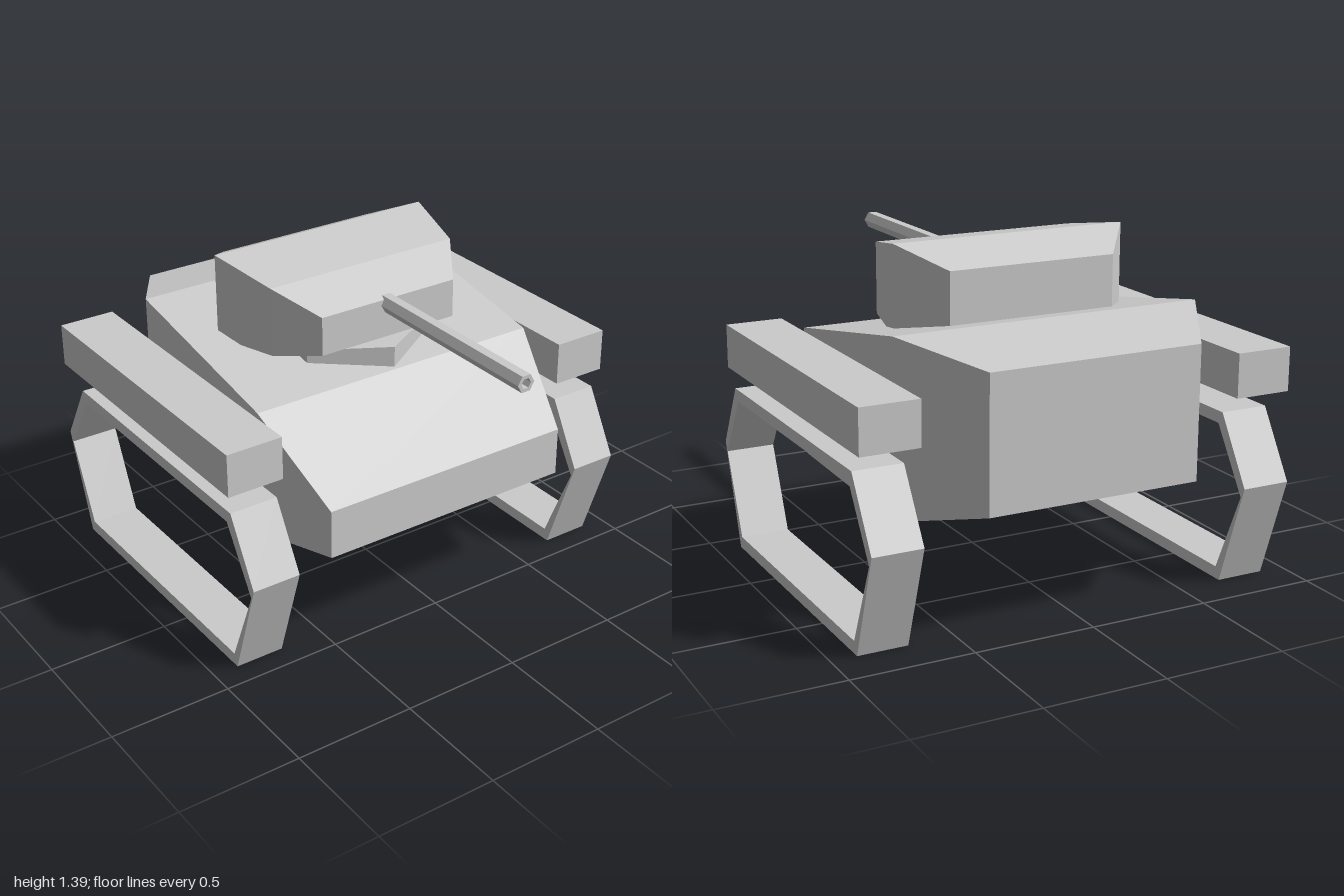
import * as THREE from 'three';

const material = new THREE.MeshStandardMaterial({ color: 0xcccccc, flatShading: true });

function addMesh(parent, name, geometry) {
  const mesh = new THREE.Mesh(geometry, material);
  mesh.name = name;
  parent.add(mesh);
  return mesh;
}

// Faceted body from back-to-front sections: [z, half width, bottom y, top y]
function sectionBody(sections) {
  const n = sections.length - 1;
  const geometry = new THREE.BoxGeometry(2, 2, n, 1, 1, n);
  const pos = geometry.attributes.position;
  for (let i = 0; i < pos.count; i++) {
    const [z, halfWidth, bottom, top] = sections[Math.round(pos.getZ(i) + n / 2)];
    pos.setXYZ(i, Math.sign(pos.getX(i)) * halfWidth, pos.getY(i) > 0 ? top : bottom, z);
  }
  geometry.computeVertexNormals();
  return geometry;
}

// Hollow track loop, drawn as (z, y) outlines and extruded across x
function trackGeometry(width) {
  const toPoints = (list) => list.map(([z, y]) => new THREE.Vector2(z, y));
  const shape = new THREE.Shape(toPoints([
    [0.4, 0], [0.545, 0.43], [0.395, 0.7], [-0.81, 0.7], [-0.975, 0.43], [-0.83, 0],
  ]));
  shape.holes.push(new THREE.Path(toPoints([
    [0.38, 0.05], [0.525, 0.39], [0.365, 0.65], [-0.785, 0.65], [-0.952, 0.39], [-0.805, 0.05],
  ])));
  const geometry = new THREE.ExtrudeGeometry(shape, { depth: width, bevelEnabled: false });
  return geometry.translate(0, 0, -width / 2).rotateY(-Math.PI / 2);
}

export function createModel() {
  const model = new THREE.Group();
  model.name = 'tank';

  addMesh(model, 'hull', sectionBody([
    [-1.0, 0.445, 0.51, 1.05],
    [-0.645, 0.655, 0.415, 1.125],
    [0.215, 0.655, 0.435, 0.97],
    [0.57, 0.56, 0.47, 0.675],
  ]));

  const turret = new THREE.Group();
  turret.name = 'turret';
  model.add(turret);

  addMesh(turret, 'turretBody', sectionBody([
    [-0.51, 0.355, 1.06, 1.31],
    [-0.325, 0.503, 1.035, 1.395],
    [-0.02, 0.437, 1.056, 1.345],
    [0.16, 0.318, 1.095, 1.257],
  ]));

  // Six-sided ring between hull and turret
  addMesh(turret, 'turretRing', new THREE.CylinderGeometry(0.35, 0.35, 0.14, 6))
    .position.set(0, 0.99, -0.15);

  // Six-sided barrel with an open bore
  const barrelProfile = [[0, 0], [0.038, 0], [0.038, 0.96], [0.022, 0.96], [0.022, 0.5], [0, 0.5]]
    .map(([r, y]) => new THREE.Vector2(r, y));
  const barrel = new THREE.LatheGeometry(barrelProfile, 6, Math.PI / 6).rotateX(Math.PI / 2);
  addMesh(turret, 'barrel', barrel).position.set(0, 1.235, 0.04);

  // Tracks and the long boxes above them, mirrored
  for (const [label, side] of [['left', 1], ['right', -1]]) {
    addMesh(model, `${label}Track`, trackGeometry(0.205)).position.x = side * 0.793;
    addMesh(model, `${label}SideBox`, new THREE.BoxGeometry(0.24, 0.18, 1.345))
      .position.set(side * 0.795, 0.877, -0.253);
  }

  return model;
}
